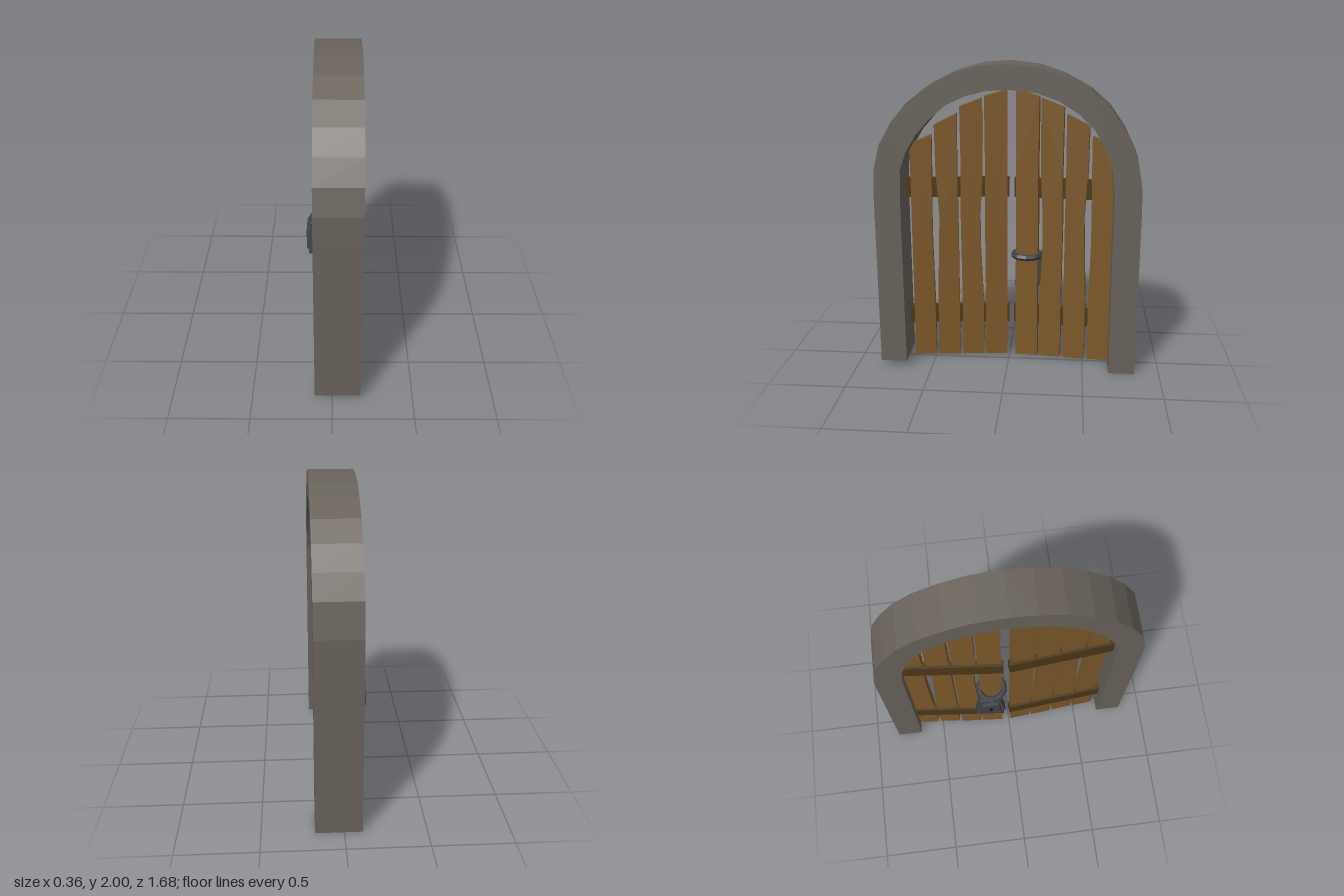
import * as THREE from 'three';

const paint = (color) => new THREE.MeshStandardMaterial({ color, flatShading: true });
const MID = -0.0175; // z of the gap between the two doors

// Extrudes a [z, y] outline along x, from x0 to x1
function slab(points, x0, x1) {
  const shape = new THREE.Shape(points.map(([z, y]) => new THREE.Vector2(z, y)));
  const geo = new THREE.ExtrudeGeometry(shape, { depth: x1 - x0, bevelEnabled: false });
  return geo.rotateY(-Math.PI / 2).translate(x1, 0, 0);
}

// Box whose top is scaled by kx and kz
function taperedBox(w, h, d, kx, kz) {
  const geo = new THREE.BoxGeometry(w, h, d);
  const p = geo.attributes.position;
  for (let i = 0; i < p.count; i++) {
    if (p.getY(i) > 0) p.setXYZ(i, p.getX(i) * kx, p.getY(i), p.getZ(i) * kz);
  }
  geo.computeVertexNormals();
  return geo;
}

export function createModel() {
  const model = new THREE.Group();
  model.name = 'archedDoor';
  const stone = paint(0x68625a);
  const wood = paint(0x7c5829);
  const darkWood = paint(0x4c3818);
  const iron = paint(0x404248);

  function add(parent, name, geo, mat, x = 0, y = 0, z = 0) {
    const mesh = new THREE.Mesh(geo, mat);
    mesh.name = name;
    mesh.position.set(x, y, z);
    parent.add(mesh);
    return mesh;
  }

  // Stone arch: outer outline one way, inner outline back; one leg is shorter
  const outer = [
    [0.84, 0.035], [0.842, 1.16], [0.835, 1.34], [0.795, 1.5], [0.715, 1.64], [0.61, 1.765],
    [0.475, 1.868], [0.32, 1.945], [0.16, 1.988], [0, 2], [-0.196, 1.98], [-0.355, 1.925],
    [-0.513, 1.84], [-0.636, 1.733], [-0.73, 1.6], [-0.8, 1.458], [-0.838, 1.25], [-0.842, 1.1], [-0.84, 0],
  ];
  const inner = [
    [-0.67, 0], [-0.67, 1.2], [-0.652, 1.36], [-0.603, 1.5], [-0.54, 1.605], [-0.445, 1.7], [-0.318, 1.78],
    [-0.18, 1.828], [-0.02, 1.845], [0.12, 1.838], [0.245, 1.807], [0.366, 1.753], [0.477, 1.66],
    [0.565, 1.56], [0.63, 1.45], [0.668, 1.34], [0.674, 1.16], [0.67, 0.035],
  ];
  add(model, 'stoneArch', slab([...outer, ...inner], -0.11, 0.175), stone);

  // Planks: outer edge, inner edge, their waists, outer and inner top heights
  const planks = [
    { o: 0.657, i: 0.514, ow: 0.655, iw: 0.522, to: 1.475, ti: 1.537 },
    { o: 0.495, i: 0.35, ow: 0.473, iw: 0.35, to: 1.6, ti: 1.672 },
    { o: 0.332, i: 0.187, ow: 0.334, iw: 0.204, to: 1.715, ti: 1.77 },
    { o: 0.175, i: 0.026, ow: 0.175, iw: 0.028, to: 1.78, ti: 1.822 },
  ];
  const hinge = 0.6875;

  // Two mirrored doors, each slightly swung open around its hinge
  for (const s of [1, -1]) {
    const door = new THREE.Group();
    door.name = s > 0 ? 'leftDoor' : 'rightDoor';
    door.position.z = MID + s * hinge;
    door.rotation.y = s * 0.095;
    model.add(door);
    const local = (u) => s * (u - hinge);
    planks.forEach((p, k) => {
      const outline = [
        [p.o, 0.018], [p.o - 0.002, 0.45], [p.ow, 1.0], [p.o - 0.003, 1.3], [p.o, p.to],
        [p.i, p.ti], [p.i + 0.002, 1.3], [p.iw, 1.0], [p.iw, 0.8], [p.i, 0.4], [p.i, 0.018],
      ];
      const back = -0.03 + (k % 2) * 0.003;
      add(door, 'plank', slab(outline.map(([u, y]) => [local(u), y]), back, back + 0.056), wood);
    });
    // Cross straps on the back
    for (const [y, h] of [[1.187, 0.127], [0.302, 0.122]]) {
      add(door, 'crossStrap', new THREE.BoxGeometry(0.045, h, 0.675), darkWood, -0.0225, y, local(0.3495));
    }
  }

  // Padlock on the back: its ring runs through both doors
  const lock = new THREE.Group();
  lock.name = 'padlock';
  lock.position.z = -0.135;
  model.add(lock);
  add(lock, 'lockRing', new THREE.TorusGeometry(0.087, 0.021, 6, 10).rotateX(Math.PI / 2), iron, -0.065, 0.73, 0.017);
  add(lock, 'lockBody', taperedBox(0.066, 0.21, 0.205, 0.65, 0.68), iron, -0.132, 0.605, 0);
  add(lock, 'lockPlate', taperedBox(0.03, 0.155, 0.15, 0.85, 0.72), iron, -0.164, 0.6, 0);
  // Keyhole
  const hole = paint(0x15161a);
  add(lock, 'keyholeTop', new THREE.CylinderGeometry(0.013, 0.013, 0.006, 8).rotateZ(Math.PI / 2), hole, -0.178, 0.615, 0);
  add(lock, 'keyholeSlot', taperedBox(0.006, 0.045, 0.02, 1, 0.5), hole, -0.178, 0.59, 0);

  return model;
}
